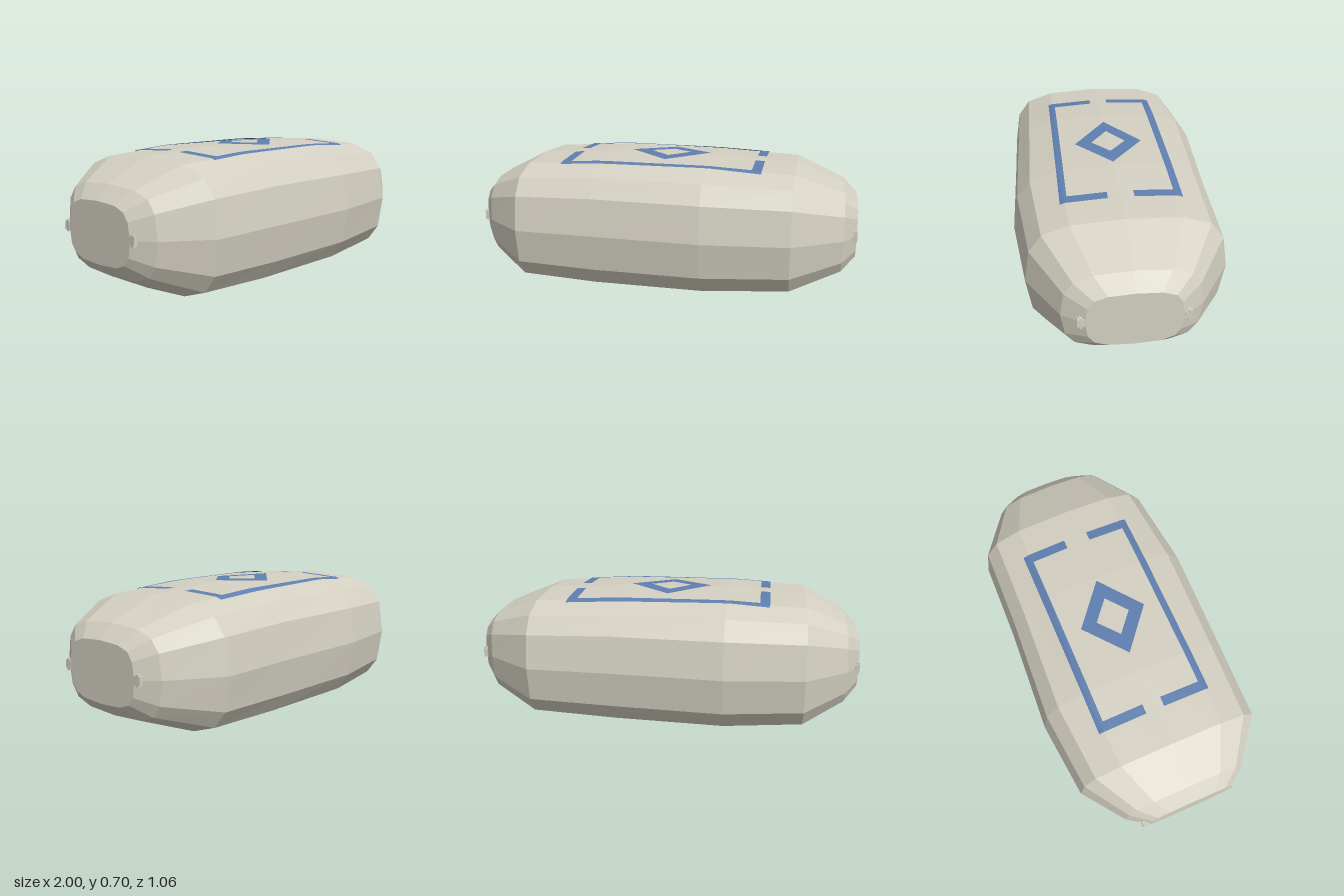
import * as THREE from 'three';

// Body sections along x: [x, half height, front half depth, back half depth]
const STATIONS = [
  [-1, 0.15, 0.23, 0.225], [-0.93, 0.22, 0.335, 0.33], [-0.72, 0.325, 0.5, 0.49], [-0.32, 0.346, 0.51, 0.535],
  [0.24, 0.343, 0.527, 0.505], [0.68, 0.32, 0.48, 0.497], [0.93, 0.22, 0.33, 0.325], [1, 0.15, 0.225, 0.225],
];
const MID = 0.348;
// Quarter of the rounded section, from top to side: [depth, height]
const QUARTER = [[0, 1], [0.54, 0.955], [0.815, 0.81], [0.945, 0.54], [1, 0]];

// Full 16-point section, top -> front -> bottom -> back
const half = [...QUARTER, ...QUARTER.slice(0, -1).reverse().map(([z, y]) => [z, -y])];
const SECTION = [...half, ...half.slice(1, -1).reverse().map(([z, y]) => [-z, y])];

const lerp = THREE.MathUtils.lerp;

// Height of the upper surface, used to lay the pattern on the cushion
function topY(x, z) {
  let i = 0;
  while (i < STATIONS.length - 2 && STATIONS[i + 1][0] < x) i++;
  const a = STATIONS[i], b = STATIONS[i + 1], t = (x - a[0]) / (b[0] - a[0]);
  const side = z >= 0 ? 2 : 3;
  const u = Math.abs(z) / lerp(a[side], b[side], t);
  let k = 0;
  while (k < 3 && QUARTER[k + 1][0] < u) k++;
  const p = QUARTER[k], q = QUARTER[k + 1];
  return MID + lerp(a[1], b[1], t) * lerp(p[1], q[1], (u - p[0]) / (q[0] - p[0]));
}

function bodyGeometry() {
  const pos = [], index = [], n = SECTION.length, last = STATIONS.length - 1;
  for (const [x, hy, front, back] of STATIONS)
    for (const [z, y] of SECTION) pos.push(x, MID + y * hy, z * (z >= 0 ? front : back));
  for (let s = 0; s < last; s++)
    for (let i = 0; i < n; i++) {
      const j = (i + 1) % n, a = s * n + i, b = s * n + j;
      index.push(a, b, a + n, b, b + n, a + n);
    }
  // flat ends
  for (let i = 1; i < n - 1; i++) {
    index.push(0, i + 1, i);
    index.push(last * n, last * n + i, last * n + i + 1);
  }
  const g = new THREE.BufferGeometry();
  g.setAttribute('position', new THREE.Float32BufferAttribute(pos, 3));
  g.setIndex(index);
  const flat = g.toNonIndexed();
  flat.computeVertexNormals();
  return flat;
}

// Thin patch draped over the top; corners [x, z] run around the patch
function drape(a, b, c, d, lift) {
  const g = new THREE.PlaneGeometry(1, 1, 16, 6), p = g.attributes.position;
  for (let i = 0; i < p.count; i++) {
    const u = p.getX(i) + 0.5, v = 0.5 - p.getY(i);
    const x = lerp(lerp(a[0], b[0], u), lerp(d[0], c[0], u), v);
    const z = lerp(lerp(a[1], b[1], u), lerp(d[1], c[1], u), v);
    p.setXYZ(i, x, topY(x, z) + lift, z);
  }
  g.computeVertexNormals();
  return g;
}

export function createModel() {
  const cloth = new THREE.MeshStandardMaterial({ color: 0xd4d0c2 });
  const blue = new THREE.MeshStandardMaterial({ color: 0x5f7fb0, side: THREE.DoubleSide });
  const model = new THREE.Group();
  const add = (name, geometry, material, parent = model) => {
    const mesh = new THREE.Mesh(geometry, material);
    mesh.name = name;
    parent.add(mesh);
    return mesh;
  };

  add('cushionBody', bodyGeometry(), cloth);

  // Rectangular border with a gap in the middle of each short side
  const border = new THREE.Group();
  border.name = 'border';
  model.add(border);
  const bar = (name, x0, x1, z0, z1) =>
    add(name, drape([x0, z0], [x1, z0], [x1, z1], [x0, z1], 0.005), blue, border);
  bar('backBar', -0.535, 0.515, -0.302, -0.262);
  bar('frontBar', -0.535, 0.515, 0.257, 0.293);
  bar('rightBackBar', -0.535, -0.485, -0.262, -0.05);
  bar('rightFrontBar', -0.535, -0.485, 0.047, 0.257);
  bar('leftBackBar', 0.465, 0.515, -0.262, -0.065);
  bar('leftFrontBar', 0.465, 0.515, 0.063, 0.257);

  // Diamond ring in the centre
  const diamond = new THREE.Group();
  diamond.name = 'diamond';
  model.add(diamond);
  const outer = [[0.217, 0], [0, -0.177], [-0.217, 0], [0, 0.177]];
  const inner = [[0.108, 0], [0, -0.09], [-0.108, 0], [0, 0.09]];
  for (let i = 0; i < 4; i++) {
    const j = (i + 1) % 4;
    add('diamondSide', drape(outer[j], outer[i], inner[i], inner[j], 0.008), blue, diamond);
  }

  // Small clips at both ends of the end caps
  for (const sx of [-1, 1])
    for (const sz of [-1, 1]) {
      const clip = new THREE.Group();
      clip.name = 'clip';
      model.add(clip);
      const part = (name, h, d, y, z) =>
        add(name, new THREE.BoxGeometry(0.02, h, d), cloth, clip).position.set(sx * 0.991, y, sz * z);
      part('clipPost', 0.058, 0.014, 0.349, 0.243);
      part('clipBar', 0.042, 0.034, 0.349, 0.242);
    }
  return model;
}
